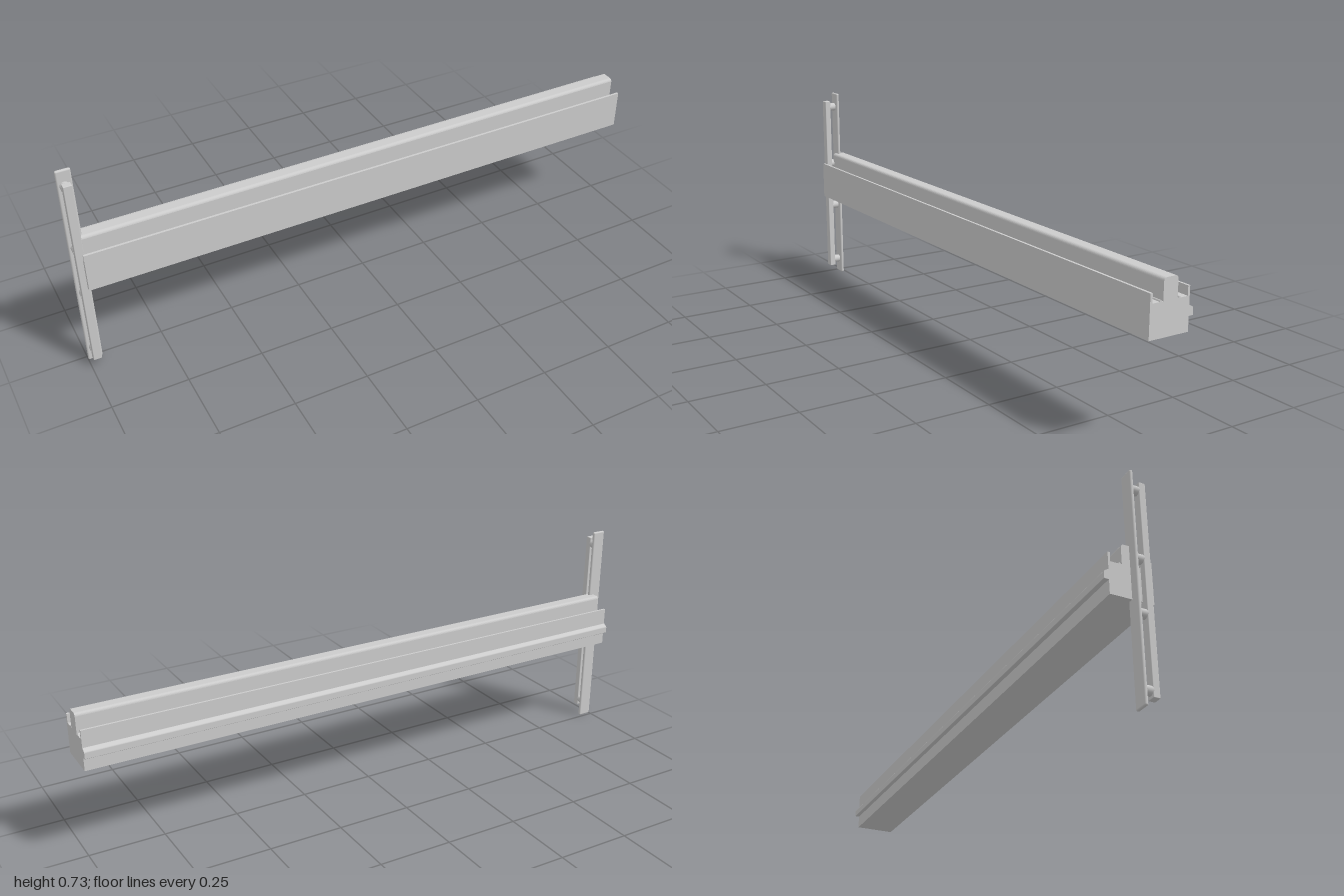
import * as THREE from 'three';
import { RoundedBoxGeometry } from 'three/addons/geometries/RoundedBoxGeometry.js';

const material = new THREE.MeshStandardMaterial({ color: 0xcccccc });

function add(parent, name, geometry, x = 0, y = 0, z = 0) {
  const mesh = new THREE.Mesh(geometry, material);
  mesh.name = name;
  mesh.position.set(x, y, z);
  parent.add(mesh);
  return mesh;
}

// Constant section of the beam, drawn as (-z, y)
function beamProfile() {
  const s = new THREE.Shape();
  s.moveTo(-0.077, 0.324);
  s.lineTo(0.061, 0.324);
  // rear rail with a sloped, rounded upper edge
  s.lineTo(0.061, 0.369);
  s.lineTo(0.074, 0.369);
  s.quadraticCurveTo(0.076, 0.369, 0.076, 0.371);
  s.lineTo(0.076, 0.389);
  s.quadraticCurveTo(0.076, 0.392, 0.073, 0.394);
  s.lineTo(0.063, 0.4);
  s.lineTo(0.061, 0.4);
  // rear lip
  s.lineTo(0.061, 0.456);
  s.lineTo(0.054, 0.456);
  s.lineTo(0.054, 0.427);
  // small rear bead
  s.lineTo(0.029, 0.427);
  s.quadraticCurveTo(0.025, 0.437, 0.021, 0.427);
  s.lineTo(0.018, 0.427);
  // central ridge with rounded shoulders
  s.lineTo(0.018, 0.483);
  s.quadraticCurveTo(0.017, 0.491, 0.009, 0.492);
  s.lineTo(-0.022, 0.492);
  s.quadraticCurveTo(-0.03, 0.491, -0.032, 0.483);
  s.lineTo(-0.032, 0.427);
  // small front bead
  s.lineTo(-0.036, 0.427);
  s.quadraticCurveTo(-0.04, 0.437, -0.044, 0.427);
  s.lineTo(-0.069, 0.427);
  // front lip
  s.lineTo(-0.069, 0.456);
  s.lineTo(-0.077, 0.456);
  s.closePath();
  return s;
}

export function createModel() {
  const model = new THREE.Group();
  model.name = 'railWithHandle';

  // Long beam
  const beam = new THREE.ExtrudeGeometry(beamProfile(), {
    depth: 1.972, bevelEnabled: false, curveSegments: 6,
  });
  beam.rotateY(Math.PI / 2);
  add(model, 'beam', beam, -0.972);

  // Upright assembly: back plate, front bar and the spacers between them
  const upright = new THREE.Group();
  upright.name = 'upright';
  model.add(upright);
  add(upright, 'backPlate', new RoundedBoxGeometry(0.047, 0.73, 0.011, 3, 0.005), -0.9765, 0.366, 0.0135);
  add(upright, 'frontBar', new RoundedBoxGeometry(0.027, 0.67, 0.021, 2, 0.002), -0.9785, 0.367, 0.051);
  for (const y of [0.055, 0.282, 0.453, 0.678]) {
    const spacer = new THREE.CylinderGeometry(0.0145, 0.0145, 0.026, 24);
    spacer.rotateX(Math.PI / 2);
    add(upright, 'spacer', spacer, -0.9785, y, 0.03);
  }
  return model;
}
